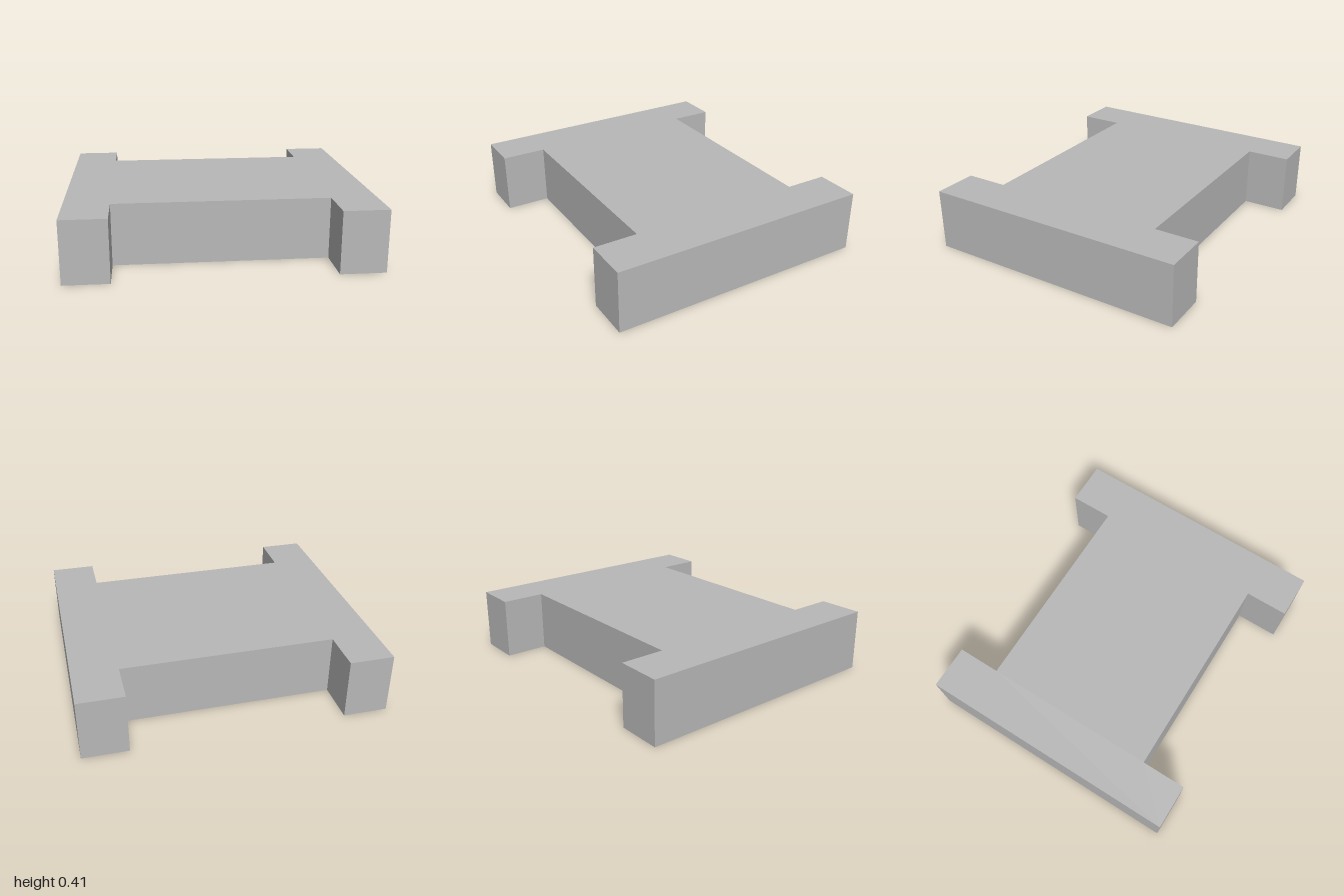
import * as THREE from 'three';
import { mergeGeometries } from 'three/addons/utils/BufferGeometryUtils.js';

const HEIGHT = 0.41;
const COURSES = 4;

// H-shaped plan as (x, z) corners, counter-clockwise seen from above
const PLAN = [
  [-1, 0.88], [-0.705, 0.88], [-0.705, 0.58], [0.702, 0.58], [0.702, 0.87], [1, 0.87],
  [1, -0.88], [0.702, -0.88], [0.702, -0.59], [-0.705, -0.59], [-0.705, -0.88], [-1, -0.88],
];

// One ring of upright panels following the plan
function wallRing(y0, y1) {
  const panels = PLAN.map(([ax, az], i) => {
    const [bx, bz] = PLAN[(i + 1) % PLAN.length];
    const panel = new THREE.PlaneGeometry(Math.hypot(bx - ax, bz - az), y1 - y0);
    panel.rotateY(Math.atan2(az - bz, bx - ax));
    return panel.translate((ax + bx) / 2, (y0 + y1) / 2, (az + bz) / 2);
  });
  return mergeGeometries(panels);
}

export function createModel() {
  const model = new THREE.Group();
  model.name = 'building';
  const grey = new THREE.MeshStandardMaterial({ color: 0xb8b8b8, side: THREE.DoubleSide });
  grey.name = 'plain grey';

  const add = (name, geometry) => {
    const mesh = new THREE.Mesh(geometry, grey);
    mesh.name = name;
    model.add(mesh);
  };

  // Hollow walls stacked in equal storeys, open underneath
  const step = HEIGHT / COURSES;
  for (let i = 0; i < COURSES; i++) {
    add(`storeyWalls${i + 1}`, wallRing(i * step, (i + 1) * step));
  }

  // Flat roof closing the top
  const outline = new THREE.Shape(PLAN.map(([x, z]) => new THREE.Vector2(x, -z)));
  const roof = new THREE.ShapeGeometry(outline);
  roof.rotateX(-Math.PI / 2).translate(0, HEIGHT, 0);
  add('roof', roof);

  return model;
}
